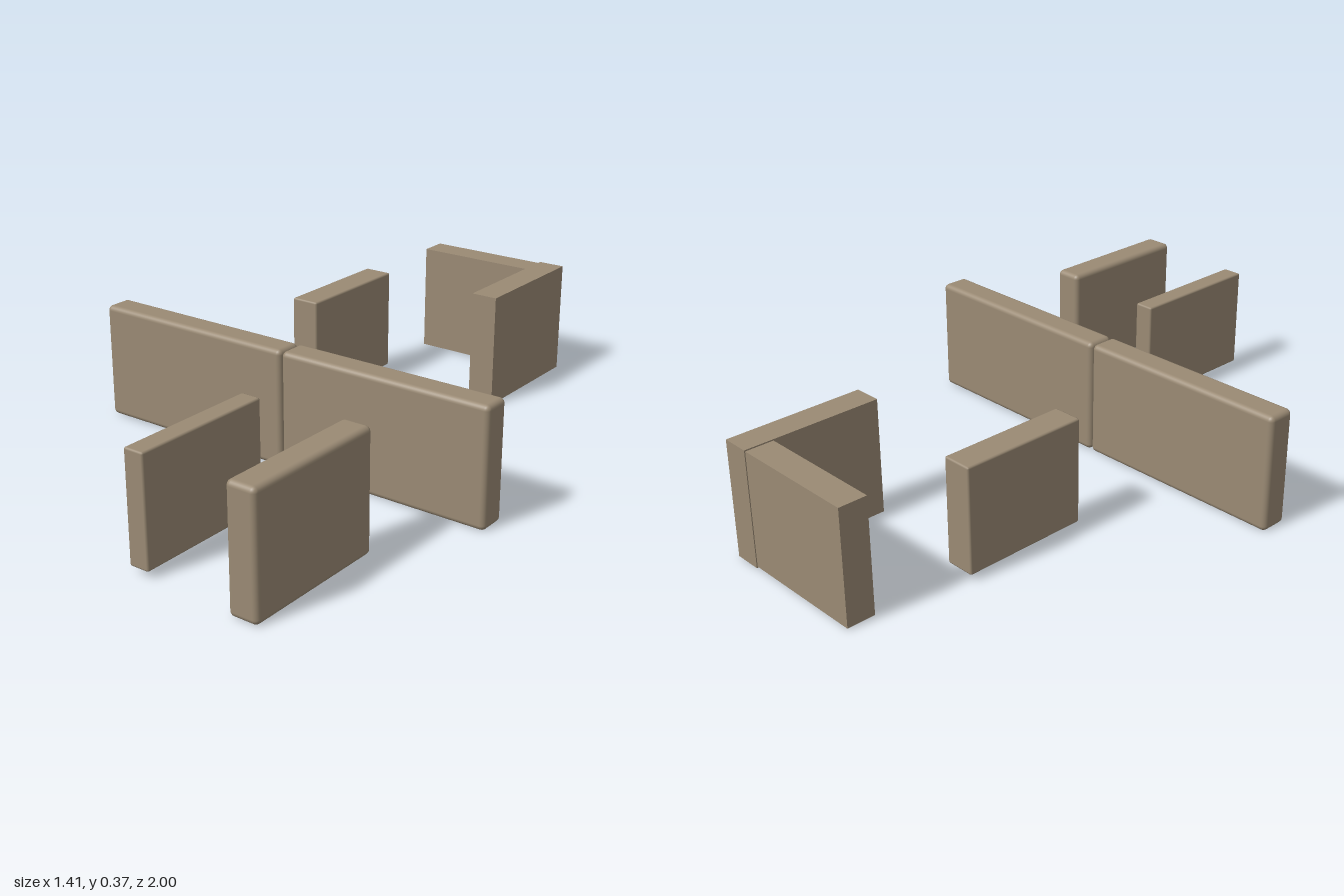
import * as THREE from 'three';
import { RoundedBoxGeometry } from 'three/addons/geometries/RoundedBoxGeometry.js';

export function createModel() {
  const model = new THREE.Group();
  model.name = 'wallPanels';
  const stone = new THREE.MeshStandardMaterial({ color: 0x9a8a74 });
  stone.name = 'tan stone';

  // Adds one upright panel from its extents; radius 0 gives sharp edges
  function panel(name, [x0, x1], [y0, y1], [z0, z1], radius = 0, segments = 3) {
    const size = [x1 - x0, y1 - y0, z1 - z0];
    const geometry = radius
      ? new RoundedBoxGeometry(...size, segments, radius)
      : new THREE.BoxGeometry(...size);
    const mesh = new THREE.Mesh(geometry, stone);
    mesh.name = name;
    mesh.position.set((x0 + x1) / 2, (y0 + y1) / 2, (z0 + z1) / 2);
    model.add(mesh);
  }

  const full = [0, 0.37];
  const low = [0.02, 0.355];

  // Long wall in two rounded halves
  panel('longWallRight', [-0.705, -0.002], full, [0.155, 0.247], 0.016);
  panel('longWallLeft', [0.002, 0.705], full, [0.155, 0.247], 0.016);

  // Pair of walls in front
  panel('frontOuterWall', [0.437, 0.53], full, [0.527, 1], 0.016);
  panel('frontInnerWall', [0.092, 0.157], low, [0.527, 0.985], 0.006, 1);

  // Single wall behind
  panel('rearInnerWall', [-0.31, -0.215], low, [-0.62, -0.205], 0.006, 1);

  // Sharp-edged corner at the back
  panel('cornerBackWall', [-0.255, 0.157], [0.004, 0.366], [-0.997, -0.907]);
  panel('cornerSideWall', [0.157, 0.245], full, [-1, -0.555]);

  return model;
}
